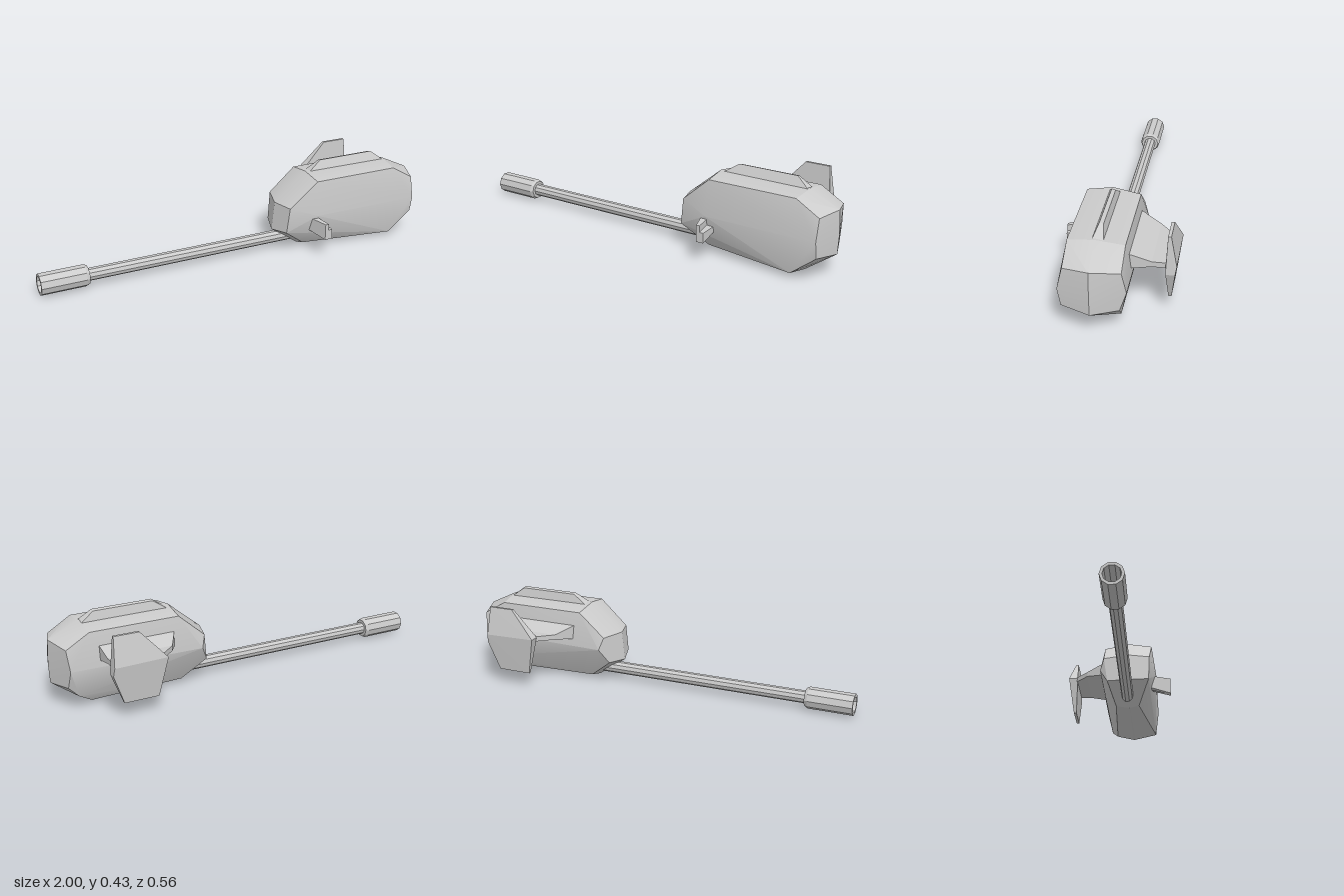
import * as THREE from 'three';
import { ConvexGeometry } from 'three/addons/geometries/ConvexGeometry.js';
import { toCreasedNormals } from 'three/addons/utils/BufferGeometryUtils.js';

const material = new THREE.MeshStandardMaterial({ color: 0xcccccc });
const flat = new THREE.MeshStandardMaterial({ color: 0xcccccc, flatShading: true });

// Faceted convex solid through a handful of corners
function hull(name, corners, crease = 0) {
  const geometry = new ConvexGeometry(corners.map((c) => new THREE.Vector3(...c)));
  const mesh = new THREE.Mesh(crease ? toCreasedNormals(geometry, crease) : geometry, crease ? material : flat);
  mesh.name = name;
  return mesh;
}

// Corners of a rectangle at depth z
const rect = (z, x0, x1, y0, y1) => [[x0, y0, z], [x1, y0, z], [x1, y1, z], [x0, y1, z]];

// Solids joining consecutive rectangular sections
function loft(name, sections) {
  const group = new THREE.Group();
  group.name = name;
  for (let i = 0; i < sections.length - 1; i++) {
    group.add(hull(name + 'Segment', [...rect(...sections[i]), ...rect(...sections[i + 1])]));
  }
  return group;
}

export function createModel() {
  const model = new THREE.Group();
  model.name = 'gunPod';

  // Housing: front outline, wider middle outline, rear outline
  model.add(hull('housing', [
    [0.84, 0.374, 0.18], [0.955, 0.305, 0.18], [0.955, 0.2, 0.205], [0.955, 0.12, 0.19],
    [0.83, 0.022, 0.19], [0.36, 0.02, 0.11], [0.235, 0.12, 0.165], [0.25, 0.25, 0.17],
    [0.395, 0.374, 0.18], [0.39, 0.2, 0.203],
    [0.85, 0.388, 0.06], [0.995, 0.318, 0.06], [1, 0.2, 0.06], [0.995, 0.107, 0.06],
    [0.845, 0, 0.065], [0.35, 0.004, 0.06], [0.205, 0.105, 0.06], [0.22, 0.25, 0.06],
    [0.39, 0.39, 0.06],
    [0.84, 0.367, -0.07], [0.955, 0.3, -0.07], [0.945, 0.2, -0.09], [0.95, 0.113, -0.06],
    [0.9, 0.063, -0.06], [0.83, 0.017, -0.027], [0.36, 0.02, -0.01], [0.24, 0.115, -0.05],
    [0.26, 0.25, -0.07], [0.395, 0.367, -0.07], [0.28, 0.19, -0.09],
  ], 0.42));

  // Barrel with a hollow muzzle, turned around the x axis
  const profile = [
    [0, -0.4], [0.031, -0.4], [0.031, 0.765], [0.046, 0.765], [0.053, 0.78],
    [0.053, 1], [0.04, 1], [0.04, 0.82], [0, 0.82],
  ].map(([r, l]) => new THREE.Vector2(r, l));
  const barrel = new THREE.Mesh(new THREE.LatheGeometry(profile, 10).rotateZ(Math.PI / 2), flat);
  barrel.name = 'barrel';
  barrel.position.set(0, 0.058, 0.052);
  model.add(barrel);

  // Top ridge
  model.add(hull('topRidge', [
    ...[0.4, 0.85].flatMap((x) => [[x, 0.38, 0.075], [x, 0.375, 0.022]]),
    ...[0.48, 0.78].flatMap((x) => [[x, 0.432, 0.051], [x, 0.427, 0.033]]),
  ]));

  // Small front lug: upright blade and sideways step
  model.add(hull('frontBlade', [
    ...rect(0.17, 0.355, 0.392, 0.12, 0.187),
    ...rect(0.278, 0.392, 0.41, 0.1, 0.182),
  ]));
  model.add(hull('frontStep', [
    ...rect(0.17, 0.38, 0.43, 0.13, 0.155),
    ...rect(0.278, 0.395, 0.43, 0.1, 0.15),
  ]));

  // Rear strut narrowing towards the shield
  model.add(loft('rearStrut', [
    [-0.05, 0.41, 0.8, 0.225, 0.305],
    [-0.09, 0.43, 0.8, 0.23, 0.295],
    [-0.175, 0.48, 0.8, 0.245, 0.27],
    [-0.245, 0.56, 0.8, 0.245, 0.27],
  ]));

  // Rear shield: six-sided plate, thickest at mid height
  const outline = [
    [0.8, 0.4, -0.257], [0.675, 0.4, -0.257], [0.55, 0.265, -0.283],
    [0.59, 0.075, -0.257], [0.76, 0.075, -0.257], [0.815, 0.22, -0.276],
    [0.81, 0.26, -0.283],
  ];
  model.add(hull('rearShield', outline.flatMap(([x, y, z]) => [
    [x, y, z], [x, y, z === -0.257 ? -0.243 : -0.235],
  ])));

  return model;
}
